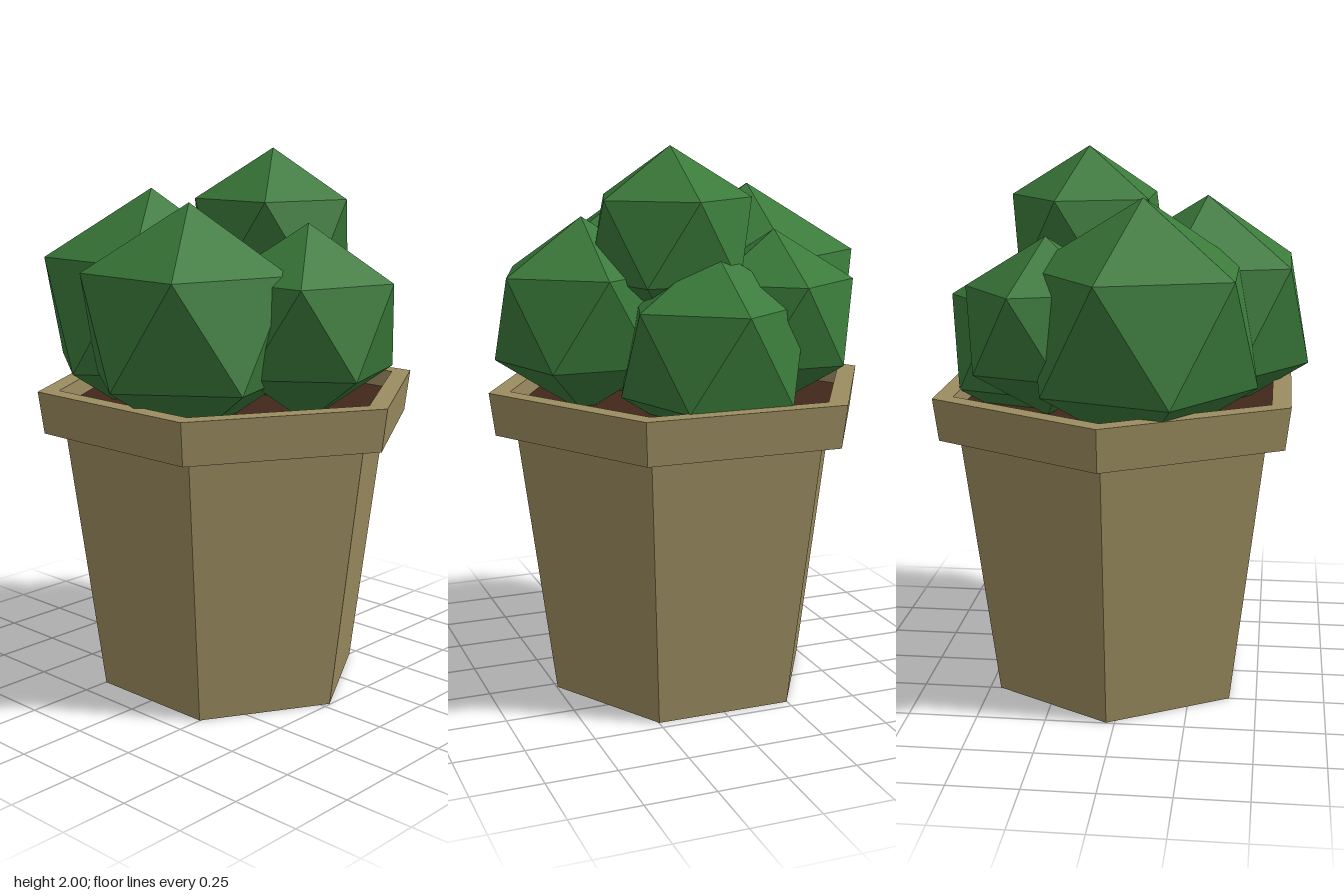
import * as THREE from 'three';

const mat = (color) => new THREE.MeshStandardMaterial({ color, flatShading: true });

export function createModel() {
  const model = new THREE.Group();
  const add = (name, geometry, material, x, y, z) => {
    const mesh = new THREE.Mesh(geometry, material);
    mesh.name = name;
    mesh.position.set(x, y, z);
    model.add(mesh);
  };

  // Six-sided pot: base, tapered wall, overhanging rim, inner lip
  const profile = [
    [0, 0], [0.497, 0], [0.628, 0.99], [0.706, 0.99],
    [0.727, 1.145], [0.649, 1.145], [0.649, 1.07],
  ].map(([r, y]) => new THREE.Vector2(r, y));
  add('pot', new THREE.LatheGeometry(profile, 6), mat(0x9c8d60), 0.03, 0, 0);

  // Soil surface
  const soil = new THREE.CircleGeometry(0.649, 6, Math.PI / 2).rotateX(-Math.PI / 2);
  add('soil', soil, mat(0x42271c), 0.03, 1.08, 0);

  // Foliage: icosahedra standing on a vertex, with an upper ring vertex at +x
  const leaf = mat(0x3a7a3a);
  const tilt = -Math.atan(2 / (1 + Math.sqrt(5)));
  const clumps = [
    ['frontFoliage', 0.353, 0.02, 1.4, 0.375],
    ['rightFoliage', 0.425, -0.28, 1.4, 0.09],
    ['backFoliage', 0.45, -0.08, 1.4, -0.305],
    ['topFoliage', 0.322, 0.155, 1.678, 0.09],
    ['leftFoliage', 0.359, 0.34, 1.3, 0],
    ['backLeftFoliage', 0.32, 0.265, 1.39, -0.26],
  ];
  for (const [name, radius, x, y, z] of clumps) {
    add(name, new THREE.IcosahedronGeometry(radius, 0).rotateZ(tilt), leaf, x, y, z);
  }
  return model;
}
